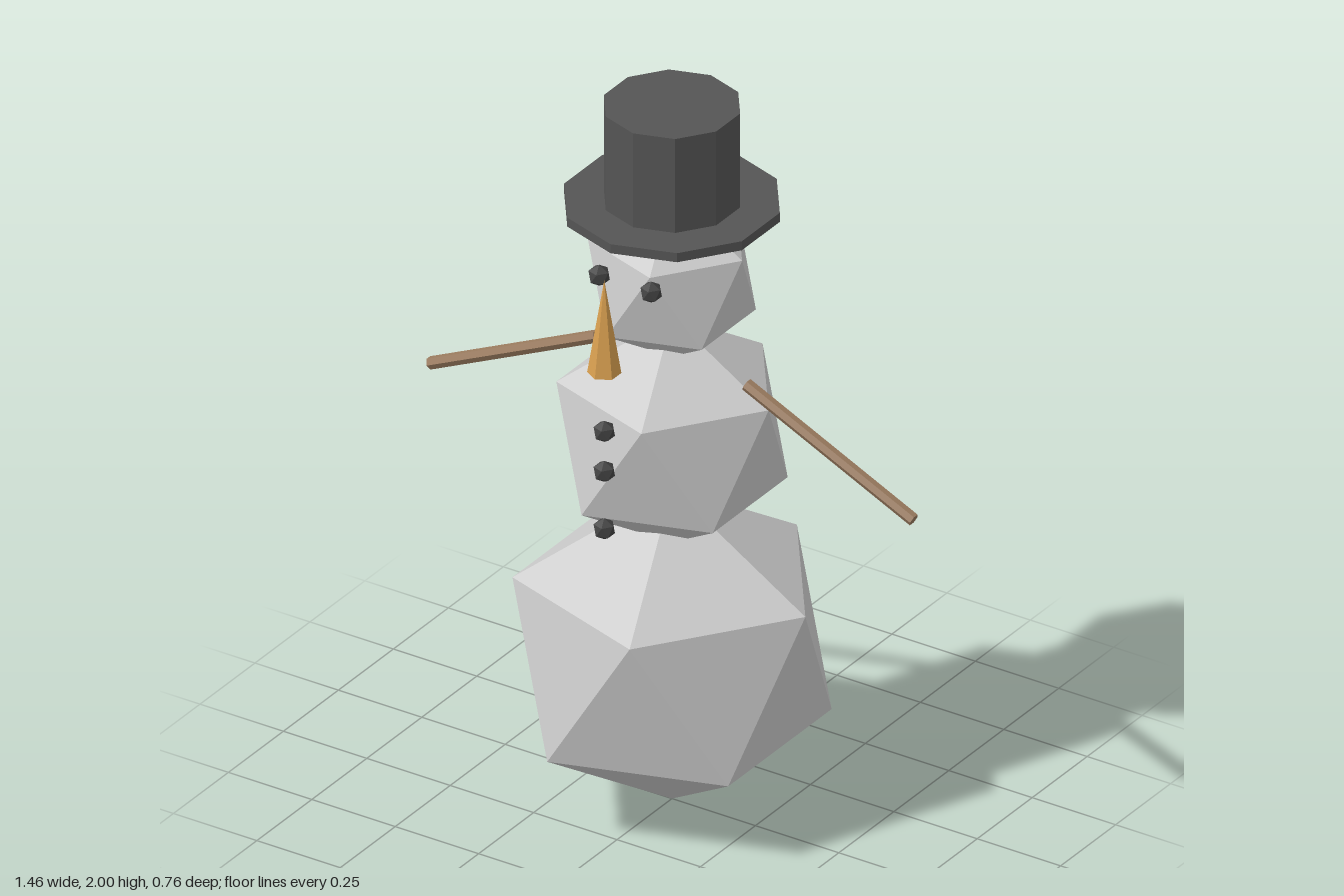
import * as THREE from 'three';

const paint = (color) => new THREE.MeshStandardMaterial({ color, flatShading: true });

export function createModel() {
  const model = new THREE.Group();
  const snow = paint(0xcccccc);
  const coal = paint(0x444444);
  const hatCloth = paint(0x555555);
  const carrot = paint(0xd9a050);
  const wood = paint(0x9a7b5f);

  function add(name, geometry, material, x, y, z, parent = model) {
    const mesh = new THREE.Mesh(geometry, material);
    mesh.name = name;
    mesh.position.set(x, y, z);
    parent.add(mesh);
    return mesh;
  }

  // Icosahedron standing on one of its corners
  const ball = (radius) =>
    new THREE.IcosahedronGeometry(radius, 0).rotateZ(-Math.atan(2 / (1 + Math.sqrt(5))));

  // Stacked snowballs
  add('bottomSnowball', ball(0.447), snow, 0, 0.45, 0);
  add('middleSnowball', ball(0.324), snow, 0, 1.065, 0);
  add('head', ball(0.235), snow, 0, 1.51, 0);

  // Top hat
  const hat = new THREE.Group();
  hat.name = 'hat';
  model.add(hat);
  add('hatBrim', new THREE.CylinderGeometry(0.28, 0.28, 0.026, 10), hatCloth, 0, 1.717, 0, hat);
  add('hatCrown', new THREE.CylinderGeometry(0.177, 0.177, 0.275, 10), hatCloth, 0, 1.8625, 0, hat);

  // Upright carrot nose
  add('nose', new THREE.ConeGeometry(0.043, 0.265, 6), carrot, 0, 1.507, 0.308);

  // Coal buttons
  for (const y of [1.205, 1.09, 0.925]) add('button', ball(0.03), coal, 0, y, 0.308);

  // Eyes and drooping stick arms, mirrored
  for (const [side, s] of [['left', 1], ['right', -1]]) {
    add(side + 'Eye', ball(0.03), coal, s * 0.078, 1.585, 0.213);
    const arm = add(side + 'Arm', new THREE.CylinderGeometry(0.017, 0.017, 0.553, 6), wood, s * 0.474, 1.147, 0);
    arm.rotation.z = s * THREE.MathUtils.degToRad(65);
  }

  return model;
}
